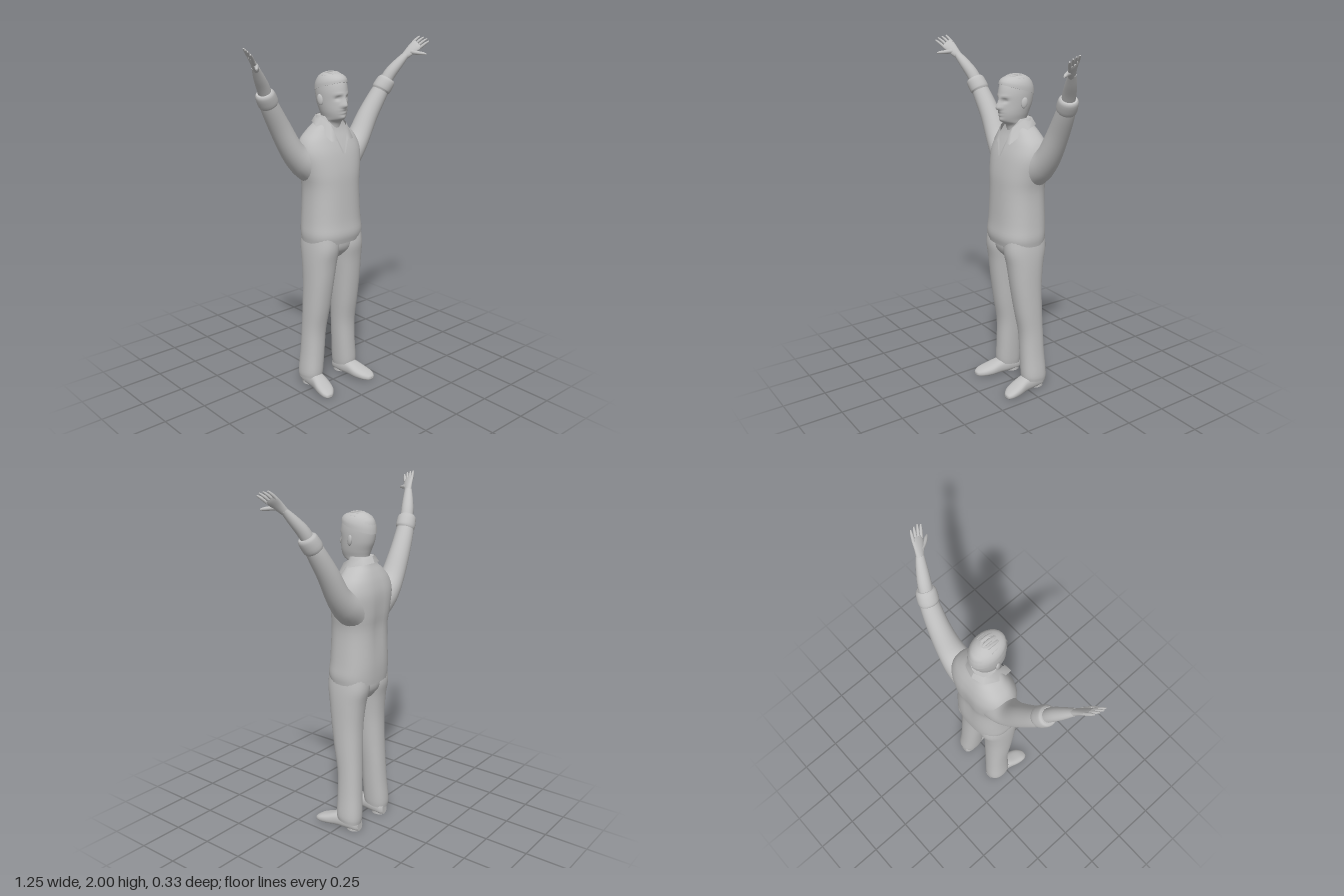
import * as THREE from 'three';

const grey = new THREE.MeshStandardMaterial({ color: 0xbfbfbf });
grey.name = 'plain grey';
const greyOpen = new THREE.MeshStandardMaterial({ color: 0xbfbfbf, side: THREE.DoubleSide });
greyOpen.name = 'plain grey';

const V = (x, y, z) => new THREE.Vector3(x, y, z);
const X = V(1, 0, 0), Y = V(0, 1, 0), Z = V(0, 0, 1);

// Lofts superelliptic rings through sections [x, y, z, radiusU, radiusV].
// ref points along radiusV; a fixed axis keeps every ring parallel.
function loft(sections, ref, { n = 20, steps = 4, power = 2, axis = null } = {}) {
  const path = new THREE.CatmullRomCurve3(sections.map(s => V(s[0], s[1], s[2])), false, 'catmullrom');
  const size = new THREE.CatmullRomCurve3(sections.map(s => V(s[3], s[4], 0)), false, 'catmullrom');
  const m = (sections.length - 1) * steps;
  const pos = [], idx = [];
  const round = v => Math.sign(v) * Math.abs(v) ** (2 / power);
  for (let i = 0; i <= m; i++) {
    const c = path.getPoint(i / m), r = size.getPoint(i / m);
    const t = axis ? axis.clone() : path.getTangent(i / m);
    const v = ref.clone().addScaledVector(t, -ref.dot(t)).normalize();
    const u = v.clone().cross(t);
    for (let j = 0; j < n; j++) {
      const a = j / n * Math.PI * 2;
      const p = c.clone().addScaledVector(u, r.x * round(Math.cos(a))).addScaledVector(v, r.y * round(Math.sin(a)));
      pos.push(p.x, p.y, p.z);
    }
  }
  for (let i = 0; i < m; i++) for (let j = 0; j < n; j++) {
    const k = (j + 1) % n, a = i * n + j, b = i * n + k;
    idx.push(a, b, b + n, a, b + n, a + n);
  }
  // end caps with their own vertices so that the rims stay crisp
  for (const end of [0, m]) {
    const base = pos.length / 3, c = path.getPoint(end / m);
    pos.push(...pos.slice(end * n * 3, (end + 1) * n * 3), c.x, c.y, c.z);
    for (let j = 0; j < n; j++) {
      const a = base + j, b = base + (j + 1) % n;
      if (end) idx.push(a, b, base + n); else idx.push(b, a, base + n);
    }
  }
  const g = new THREE.BufferGeometry();
  g.setAttribute('position', new THREE.Float32BufferAttribute(pos, 3));
  g.setIndex(idx);
  g.computeVertexNormals();
  return g;
}

// Moves each vertex by a rule
function reshape(g, rule) {
  const p = g.attributes.position, v = V(0, 0, 0);
  for (let i = 0; i < p.count; i++) {
    rule(v.fromBufferAttribute(p, i));
    p.setXYZ(i, v.x, v.y, v.z);
  }
  g.computeVertexNormals();
  return g;
}

const bump = (d, w) => Math.exp(-((d / w) ** 2));

export function createModel() {
  const model = new THREE.Group();
  model.name = 'standingMan';
  const add = (name, geometry, parent = model, material = grey) => {
    const mesh = new THREE.Mesh(geometry, material);
    mesh.name = name;
    parent.add(mesh);
  };

  // Pullover body, with a belly overhanging the hem
  add('pullover', reshape(loft([
    [0, 0.9, -0.018, 0.172, 0.136], [0, 0.95, -0.015, 0.178, 0.143], [0, 1.03, -0.02, 0.172, 0.14],
    [0, 1.2, -0.022, 0.165, 0.134], [0, 1.3, -0.03, 0.18, 0.135], [0, 1.4, -0.04, 0.195, 0.125],
    [0, 1.47, -0.045, 0.175, 0.105], [0, 1.52, -0.045, 0.13, 0.085], [0, 1.56, -0.04, 0.085, 0.07],
    [0, 1.6, -0.037, 0.063, 0.063],
  ], Z, { n: 40, power: 2.4, axis: Y }), v => {
    // shallow hollow along the spine
    if (v.z < 0) v.z += 0.01 * bump(v.x, 0.04) * bump(v.y - 1.25, 0.2);
  }));

  // Trouser seat
  add('trouserSeat', loft([
    [0, 0.8, -0.025, 0.08, 0.07], [0, 0.86, -0.018, 0.15, 0.115], [0, 0.95, -0.015, 0.16, 0.12],
  ], Z, { n: 32, axis: Y }));

  // Neck and head, with brow, eyes, nose, mouth and chin pressed into the face
  add('head', reshape(loft([
    [0, 1.48, -0.035, 0.06, 0.065], [0, 1.56, -0.025, 0.055, 0.066], [0, 1.59, 0, 0.054, 0.078],
    [0, 1.63, 0, 0.065, 0.09], [0, 1.68, -0.01, 0.073, 0.1], [0, 1.74, -0.014, 0.076, 0.104],
    [0, 1.79, -0.017, 0.068, 0.092], [0, 1.818, -0.017, 0.047, 0.064], [0, 1.83, -0.017, 0.02, 0.03],
  ], Z, { n: 56, steps: 7, axis: Y }), v => {
    if (v.z < 0.03) return;
    const x = Math.abs(v.x);
    const noseHeight = v.y > 1.662 ? bump(v.y - 1.662, 0.04) : bump(v.y - 1.662, 0.012);
    v.z += 0.026 * noseHeight * bump(x, 0.011 + 0.006 * bump(v.y - 1.662, 0.015))
      - 0.014 * bump(x - 0.031, 0.015) * bump(v.y - 1.702, 0.011)
      + 0.005 * bump(x - 0.028, 0.022) * bump(v.y - 1.723, 0.008)
      + 0.006 * bump(x, 0.02) * bump(v.y - 1.64, 0.005)
      - 0.005 * bump(x, 0.022) * bump(v.y - 1.632, 0.003)
      + 0.006 * bump(x, 0.018) * bump(v.y - 1.625, 0.005)
      + 0.008 * bump(x, 0.02) * bump(v.y - 1.597, 0.012);
  }));

  // Short hair: a cap rising towards the hairline, and combed locks
  const hair = new THREE.Group();
  hair.name = 'hair';
  model.add(hair);
  add('hairCap', reshape(loft([
    [0, 1.755, -0.018, 0.078, 0.104], [0, 1.785, -0.018, 0.075, 0.099],
    [0, 1.815, -0.017, 0.057, 0.077], [0, 1.832, -0.017, 0.025, 0.035],
  ], Z, { n: 24, steps: 2, axis: Y }), v => {
    v.y += 0.3 * (v.z + 0.017) * THREE.MathUtils.clamp((1.83 - v.y) / 0.075, 0, 1);
  }), hair);
  for (let i = -2; i <= 2; i++) {
    const x = i * 0.021, d = 0.0045 * i * i;
    add('lock', loft([
      [x, 1.795 - d, 0.068 - d, 0.006, 0.003], [x * 1.05, 1.826 - d, 0.03, 0.01, 0.006],
      [x * 1.1, 1.832 - d, -0.03, 0.01, 0.006], [x, 1.806 - d, -0.085 + d, 0.006, 0.004],
    ], Y, { n: 6, steps: 2 }), hair);
  }

  for (const s of [1, -1]) {
    const side = new THREE.Group();
    side.name = s > 0 ? 'leftSide' : 'rightSide';
    model.add(side);
    const limb = (name, sections, ref, options) =>
      add(name, loft(sections.map(([x, ...rest]) => [s * x, ...rest]), ref, options), side);

    // Ear
    const ear = new THREE.SphereGeometry(1, 12, 10);
    ear.scale(0.009, 0.03, 0.018).rotateX(-0.2).rotateY(s * -0.3).translate(s * 0.079, 1.69, -0.015);
    add('ear', ear, side);

    // Collar flap, from the nape to the foot of the V neck
    const inner = [[0, 1.603, -0.106], [0.05, 1.603, -0.085], [0.068, 1.595, -0.02], [0.056, 1.56, 0.045], [0.03, 1.48, 0.073], [0, 1.41, 0.09]];
    const outer = [[0, 1.57, -0.122], [0.07, 1.565, -0.1], [0.1, 1.55, -0.03], [0.078, 1.475, 0.079], [0.04, 1.476, 0.078], [0.008, 1.4, 0.093]];
    const collar = new THREE.BufferGeometry();
    const pts = inner.flatMap((p, i) => [p, outer[i]]).flatMap(([x, y, z]) => [s * x, y, z]);
    collar.setAttribute('position', new THREE.Float32BufferAttribute(pts, 3));
    const idx = [];
    for (let i = 0; i < 10; i += 2) {
      if (s > 0) idx.push(i, i + 1, i + 3, i, i + 3, i + 2);
      else idx.push(i, i + 3, i + 1, i, i + 2, i + 3);
    }
    collar.setIndex(idx);
    collar.computeVertexNormals();
    add('collar', collar, side, greyOpen);

    // Raised sleeve and its rolled cuff
    limb('sleeve', [
      [0.1, 1.31, -0.055, 0.09, 0.09], [0.17, 1.36, -0.06, 0.082, 0.085], [0.24, 1.43, -0.062, 0.064, 0.072],
      [0.315, 1.555, -0.06, 0.058, 0.06], [0.385, 1.668, -0.047, 0.05, 0.052], [0.42, 1.73, -0.035, 0.042, 0.044],
    ], Z, { n: 24 });
    limb('cuff', [
      [0.397, 1.69, -0.042, 0.046, 0.047], [0.406, 1.704, -0.04, 0.054, 0.055],
      [0.432, 1.746, -0.03, 0.051, 0.053], [0.44, 1.76, -0.027, 0.041, 0.043],
    ], Z, { n: 24, steps: 3 });

    // Forearm, palm, fingers and thumb
    limb('forearm', [
      [0.415, 1.72, -0.038, 0.034, 0.036], [0.45, 1.785, -0.02, 0.034, 0.036],
      [0.49, 1.84, 0.004, 0.028, 0.031], [0.53, 1.893, 0.03, 0.017, 0.022],
    ], Z, { n: 18 });
    const across = V(s * 0.1, -0.45, 0.88);
    limb('palm', [
      [0.522, 1.882, 0.025, 0.017, 0.021], [0.553, 1.918, 0.047, 0.014, 0.032],
      [0.577, 1.942, 0.06, 0.012, 0.037], [0.588, 1.953, 0.067, 0.008, 0.034],
    ], across, { n: 16, steps: 3 });
    [0.062, 0.07, 0.073, 0.065].forEach((length, i) => {
      const k = (i - 1.5) * 0.019;
      const at = (f, r) => [0.578 + 0.1 * k + 0.62 * f, 1.943 - 0.45 * k + 0.68 * f - 1.5 * f * f, 0.061 + 0.88 * k + (0.4 + k * 4) * f, r, r];
      limb('finger', [at(0, 0.009), at(length * 0.55, 0.008), at(length, 0.004)], across, { n: 8, steps: 3 });
    });
    limb('thumb', [
      [0.545, 1.908, 0.053, 0.014, 0.014], [0.565, 1.903, 0.09, 0.011, 0.011],
      [0.582, 1.9, 0.112, 0.009, 0.009], [0.594, 1.897, 0.128, 0.004, 0.004],
    ], Y, { n: 8, steps: 3 });

    // Trouser leg, with the hem lower at the heel
    const leg = loft([
      [0.107, 0.06, -0.048, 0.01, 0.01], [0.132, 0.058, -0.05, 0.06, 0.073], [0.131, 0.1, -0.05, 0.065, 0.077],
      [0.121, 0.22, -0.046, 0.065, 0.073], [0.113, 0.36, -0.041, 0.067, 0.072], [0.107, 0.5, -0.026, 0.073, 0.082],
      [0.101, 0.65, -0.014, 0.079, 0.093], [0.094, 0.78, -0.012, 0.086, 0.108], [0.087, 0.87, -0.014, 0.089, 0.126],
      [0.084, 0.95, -0.015, 0.082, 0.122],
    ].slice(1).map(([x, ...rest]) => [s * x, ...rest]), Z, { n: 28, power: 2.25, axis: Y });
    add('trouserLeg', reshape(leg, v => {
      v.y += 0.17 * (v.z + 0.05) * THREE.MathUtils.clamp((0.15 - v.y) / 0.1, 0, 1);
    }), side);

    // Shoe, turned a little outwards, on a flat sole
    limb('shoe', [
      [0.122, 0.032, -0.12, 0.022, 0.028], [0.123, 0.04, -0.1, 0.04, 0.04], [0.127, 0.045, -0.04, 0.046, 0.045],
      [0.134, 0.044, 0.02, 0.047, 0.043], [0.145, 0.033, 0.08, 0.052, 0.033], [0.156, 0.025, 0.13, 0.045, 0.024],
      [0.163, 0.018, 0.158, 0.026, 0.015], [0.164, 0.017, 0.165, 0.01, 0.007],
    ], Y, { n: 24, power: 2.5, axis: Z });
    const heel = new THREE.CylinderGeometry(0.038, 0.038, 0.014, 20);
    heel.scale(1, 1, 1.15).translate(s * 0.124, 0.007, -0.075);
    add('heel', heel, side);
  }

  return model;
}
